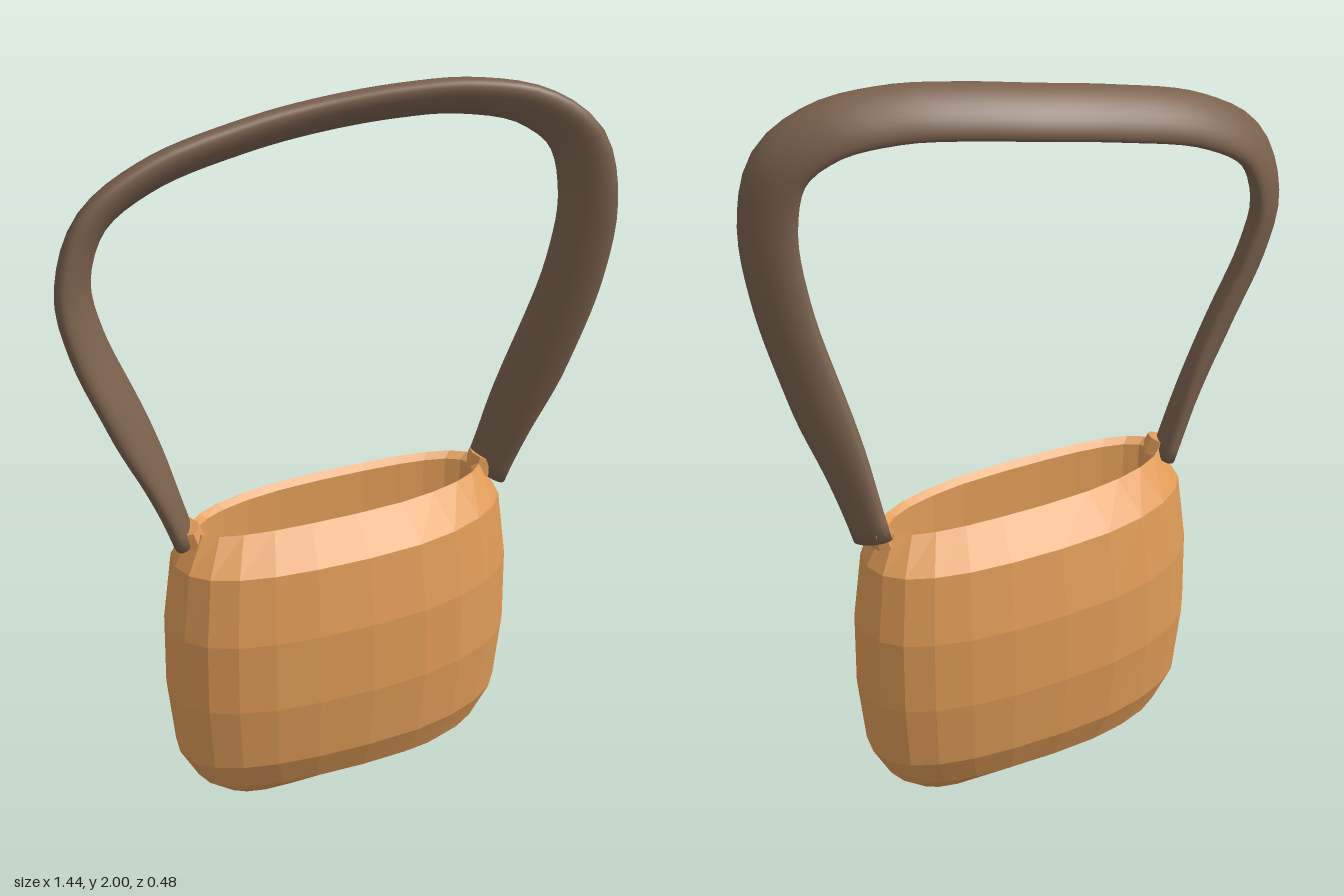
import * as THREE from 'three';

const CENTER_X = 0.035;

// Skin a list of closed rings (each an array of Vector3) into one surface
function loft(rings, material) {
  const n = rings[0].length, pos = [], idx = [];
  rings.forEach(r => r.forEach(p => pos.push(p.x, p.y, p.z)));
  for (let i = 0; i < rings.length - 1; i++) {
    for (let j = 0; j < n; j++) {
      const a = i * n + j, b = i * n + (j + 1) % n, c = a + n, d = b + n;
      idx.push(a, c, b, b, c, d);
    }
  }
  const g = new THREE.BufferGeometry();
  g.setAttribute('position', new THREE.Float32BufferAttribute(pos, 3));
  g.setIndex(idx);
  g.computeVertexNormals();
  return new THREE.Mesh(g, material);
}

// Rounded oblong ring whose ends sweep to opposite depths in a gentle S
function bodyRing([hx, hz, y]) {
  const ring = [], n = 24, e = 2 / 2.3;
  for (let j = 0; j < n; j++) {
    const a = (j / n) * Math.PI * 2, c = Math.cos(a), s = Math.sin(a);
    const dx = hx * Math.sign(c) * Math.abs(c) ** e;
    const dz = hz * Math.sign(s) * Math.abs(s) ** e;
    const lift = y < 0.02 ? 0.02 * Math.max(0, 1 - (dx / 0.3) ** 2) ** 2 : 0;
    ring.push(new THREE.Vector3(CENTER_X + dx, y + lift, dz - 0.15 * dx * Math.abs(dx)));
  }
  return ring;
}

// Flattened oval strap swept along an arc, its broad side rolled outward
function buildStrap(points, material) {
  const curve = new THREE.CatmullRomCurve3(points.map(p => new THREE.Vector3(...p)));
  const steps = 80, sides = 24, rings = [];
  const collapsed = p => Array.from({ length: sides }, () => p.clone());
  for (let i = 0; i <= steps; i++) {
    const u = i / steps, p = curve.getPointAt(u), t = curve.getTangentAt(u);
    const side = new THREE.Vector3(0, 0, 1).addScaledVector(t, -t.z).normalize();
    const out = new THREE.Vector3().crossVectors(side, t);
    const end = THREE.MathUtils.smoothstep(Math.min(u, 1 - u), 0, 0.12);
    const thick = 0.03 + 0.007 * end, wide = 0.068 + 0.013 * end, roll = 0.4 + 0.33 * end;
    const broad = side.clone().multiplyScalar(Math.cos(roll)).addScaledVector(out, Math.sin(roll));
    const thin = out.clone().multiplyScalar(Math.cos(roll)).addScaledVector(side, -Math.sin(roll));
    if (i === 0) rings.push(collapsed(p));
    rings.push(Array.from({ length: sides }, (_, j) => {
      const a = (j / sides) * Math.PI * 2;
      return p.clone().addScaledVector(thin, -Math.cos(a) * thick).addScaledVector(broad, Math.sin(a) * wide);
    }));
    if (i === steps) rings.push(collapsed(p));
  }
  return loft(rings, material);
}

export function createModel() {
  const group = new THREE.Group();
  const tan = new THREE.MeshStandardMaterial({ color: 0xe09c58, flatShading: true, side: THREE.DoubleSide });
  const brown = new THREE.MeshStandardMaterial({ color: 0x7a614c, side: THREE.DoubleSide });

  // Pouch: underside, bulging wall, rim, then tapering inner wall and floor
  const profile = [
    [0, 0, 0.01], [0.345, 0.095, 0], [0.43, 0.17, 0.07], [0.485, 0.215, 0.165],
    [0.507, 0.24, 0.355], [0.507, 0.24, 0.56], [0.485, 0.21, 0.75], [0.43, 0.125, 0.842],
    [0.41, 0.11, 0.825], [0.4, 0.105, 0.5], [0.385, 0.1, 0.15], [0.345, 0.085, 0.05], [0, 0, 0.05],
  ];
  const pouch = loft(profile.map(bodyRing), tan);
  pouch.name = 'pouch';
  group.add(pouch);

  // Strap: leans back on the right side and forward on the left side
  const strap = buildStrap([
    [-0.41, 0.81, 0.005], [-0.477, 1.0, -0.004], [-0.56, 1.2, -0.02], [-0.638, 1.4, -0.046],
    [-0.662, 1.55, -0.062], [-0.605, 1.71, -0.07], [-0.45, 1.81, -0.072], [-0.2, 1.876, -0.062],
    [0, 1.91, -0.038], [0.2, 1.935, 0.012], [0.36, 1.94, 0.062], [0.52, 1.907, 0.118],
    [0.625, 1.82, 0.16], [0.659, 1.66, 0.176], [0.64, 1.45, 0.156], [0.583, 1.2, 0.1],
    [0.53, 1.0, 0.041], [0.49, 0.81, -0.015],
  ], brown);
  strap.name = 'strap';
  group.add(strap);

  // Small tabs joining the strap to the rim
  for (const [name, x, z, tilt] of [['rightTab', -0.4, 0.02, 0.3], ['leftTab', 0.475, -0.025, -0.25]]) {
    const tab = new THREE.Mesh(new THREE.CylinderGeometry(0.03, 0.036, 0.045, 8), tan);
    tab.name = name;
    tab.scale.z = 1.5;
    tab.position.set(x, 0.83, z);
    tab.rotation.z = tilt;
    group.add(tab);
  }
  return group;
}
